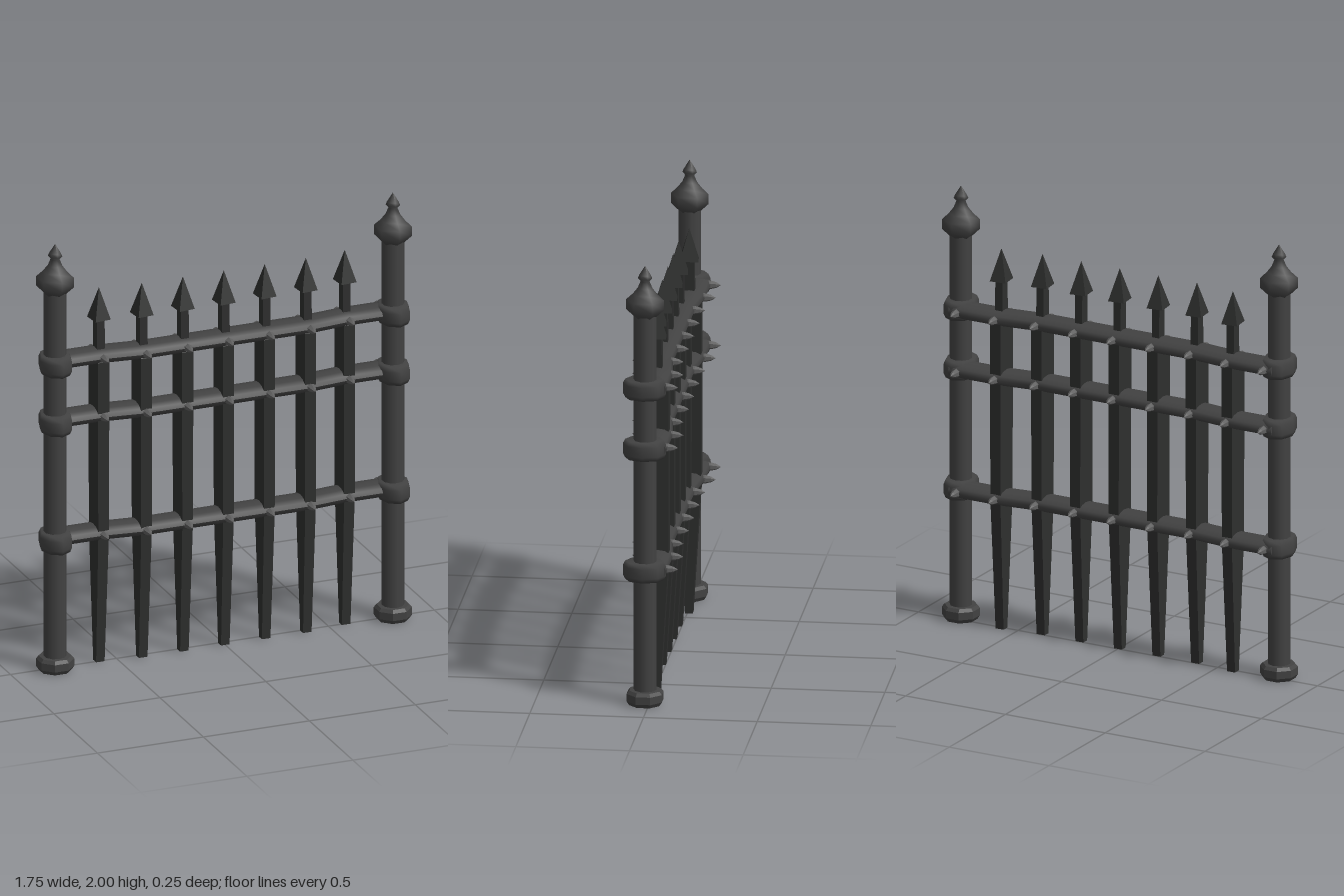
import * as THREE from 'three';

const iron = new THREE.MeshStandardMaterial({ color: 0x424242 });
iron.name = 'wrought iron';
const darkIron = new THREE.MeshStandardMaterial({ color: 0x2e2f2e });
darkIron.name = 'dark iron';
const steel = new THREE.MeshStandardMaterial({ color: 0x5e5e5e });
steel.name = 'worn steel';

const POST_X = 0.797, POST_Z = 0.018;
const RAIL_Y = [0.61, 1.165, 1.44];
const BAR_X = [-0.58, -0.387, -0.193, 0, 0.193, 0.387, 0.58];

// The rails step back near the posts
const railZ = x => THREE.MathUtils.mapLinear(THREE.MathUtils.clamp(Math.abs(x), 0.39, 0.58), 0.39, 0.58, 0.012, -0.011);

function add(parent, name, geometry, material, x = 0, y = 0, z = 0) {
  const mesh = new THREE.Mesh(geometry, material);
  mesh.name = name;
  mesh.position.set(x, y, z);
  parent.add(mesh);
  return mesh;
}

function turned(points, sides) {
  return new THREE.LatheGeometry(points.map(p => new THREE.Vector2(p[0], p[1])), sides);
}

function flat(geometry) {
  const g = geometry.index ? geometry.toNonIndexed() : geometry;
  g.computeVertexNormals();
  return g;
}

// Oval tube along x, bent at its stations
function railGeometry() {
  const stations = [-0.81, -0.58, -0.39, 0.39, 0.58, 0.81];
  const g = new THREE.CylinderGeometry(1, 1, stations.length - 1, 12, stations.length - 1);
  g.rotateZ(-Math.PI / 2);
  const p = g.attributes.position;
  for (let i = 0; i < p.count; i++) {
    const x = stations[Math.round(p.getX(i) + 2.5)];
    p.setXYZ(i, x, p.getY(i) * 0.036, p.getZ(i) * 0.067 + railZ(x));
  }
  g.computeVertexNormals();
  return g;
}

// Square bar whose width and depth change with height: [y, width, depth]
function barGeometry() {
  const sections = [[0, 0.04, 0.034], [0.6, 0.05, 0.108], [1.165, 0.053, 0.11], [1.42, 0.053, 0.11], [1.45, 0.036, 0.05], [1.63, 0.036, 0.045]];
  const n = sections.length - 1;
  const g = new THREE.BoxGeometry(1, n, 1, 1, n, 1);
  const p = g.attributes.position;
  for (let i = 0; i < p.count; i++) {
    const [y, w, d] = sections[Math.round(p.getY(i) + n / 2)];
    p.setXYZ(i, p.getX(i) * w, y, p.getZ(i) * d);
  }
  return flat(g);
}

function spearGeometry() {
  const g = new THREE.ConeGeometry(0.053, 0.145, 4);
  g.rotateY(Math.PI / 4 + 0.1);
  g.scale(1, 1, 1.1);
  return flat(g);
}

export function createModel() {
  const model = new THREE.Group();
  model.name = 'ironFence';

  const shaft = new THREE.CylinderGeometry(0.05, 0.05, 1.78, 10);
  const base = flat(turned([[0, 0], [0.072, 0], [0.084, 0.018], [0.084, 0.052], [0.072, 0.066], [0, 0.068]], 8));
  base.rotateY(Math.PI / 8);
  const cap = turned([[0, 1.765], [0.046, 1.765], [0.083, 1.8], [0.083, 1.845], [0.054, 1.872], [0.032, 1.9], [0.02, 1.93], [0.032, 1.943], [0.026, 1.958], [0, 2]], 6);
  const collar = turned([[0, -0.042], [0.064, -0.042], [0.072, -0.022], [0.072, 0.022], [0.064, 0.042], [0, 0.042]], 8);
  collar.scale(1, 1, 1.32);
  const spike = flat(turned([[0, -0.113], [0.013, -0.092], [0.019, -0.068], [0.019, 0.068], [0.013, 0.092], [0, 0.113]], 6));
  spike.rotateX(Math.PI / 2);

  // End posts with feet, finials and rail collars
  for (const side of [1, -1]) {
    const post = new THREE.Group();
    post.name = side > 0 ? 'leftPost' : 'rightPost';
    post.position.set(side * POST_X, 0, POST_Z);
    add(post, 'postShaft', shaft, iron, 0, 0.89);
    add(post, 'postBase', base, iron);
    add(post, 'postFinial', cap, iron);
    for (const y of RAIL_Y) add(post, 'railCollar', collar, iron, 0, y, 0.003);
    model.add(post);
  }

  // Horizontal rails and the pointed rivets through them
  const rail = railGeometry();
  for (const y of RAIL_Y) {
    add(model, 'rail', rail, iron, 0, y, 0);
    for (const x of [-0.77, ...BAR_X, 0.77]) add(model, 'rivet', spike, steel, x, y, railZ(x));
  }

  // Upright bars with spearheads
  const bar = barGeometry(), spear = spearGeometry();
  for (const x of BAR_X) {
    const z = railZ(x) + 0.004;
    add(model, 'bar', bar, darkIron, x, 0, z);
    add(model, 'spearhead', spear, darkIron, x, 1.682, z);
  }
  return model;
}
